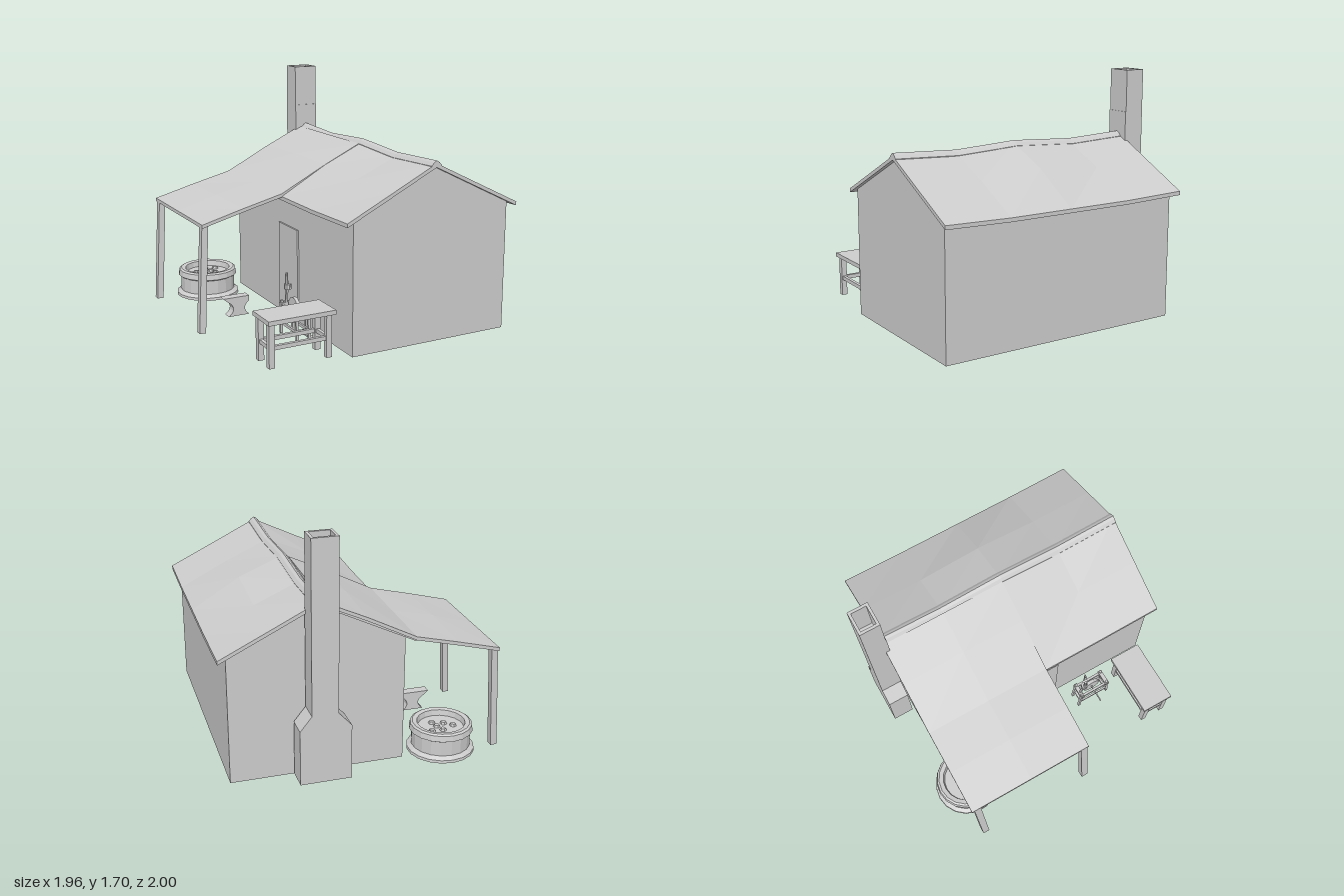
import * as THREE from 'three';

const stone = new THREE.MeshStandardMaterial({ color: 0xcccccc, flatShading: true, side: THREE.DoubleSide });
stone.name = 'plain grey';

function add(parent, name, geometry, x = 0, y = 0, z = 0) {
  const mesh = new THREE.Mesh(geometry, stone);
  mesh.name = name;
  mesh.position.set(x, y, z);
  parent.add(mesh);
  return mesh;
}

function group(parent, name) {
  const g = new THREE.Group();
  g.name = name;
  parent.add(g);
  return g;
}

// box given by its limits
function block(parent, name, x0, x1, y0, y1, z0, z1) {
  return add(parent, name, new THREE.BoxGeometry(x1 - x0, y1 - y0, z1 - z0), (x0 + x1) / 2, (y0 + y1) / 2, (z0 + z1) / 2);
}

// square bar between two points
function bar(parent, name, a, b, w, d = w) {
  const p = new THREE.Vector3(...a), q = new THREE.Vector3(...b);
  const mesh = add(parent, name, new THREE.BoxGeometry(w, p.distanceTo(q), d));
  mesh.position.copy(p).lerp(q, 0.5);
  mesh.quaternion.setFromUnitVectors(new THREE.Vector3(0, 1, 0), q.sub(p).normalize());
  return mesh;
}

// closed sheet of thickness t, rows run from back to front as [z, [[x, y], ...]]
function slab(rows, t) {
  const pos = [];
  const quad = (a, b, c, d) => pos.push(...a, ...b, ...c, ...a, ...c, ...d);
  const loops = rows.map(([z, pts]) => [
    ...pts.map(([x, y]) => [x, y, z]),
    ...pts.map(([x, y]) => [x, y - t, z]).reverse(),
  ]);
  const n = loops[0].length;
  for (let r = 0; r + 1 < loops.length; r++) {
    for (let i = 0; i < n; i++) {
      const j = (i + 1) % n;
      quad(loops[r][i], loops[r + 1][i], loops[r + 1][j], loops[r][j]);
    }
  }
  const back = loops[0], front = loops[loops.length - 1];
  for (let i = 0; i < n / 2 - 1; i++) {
    quad(front[i], front[n - 1 - i], front[n - 2 - i], front[i + 1]);
    quad(back[i], back[i + 1], back[n - 2 - i], back[n - 1 - i]);
  }
  const g = new THREE.BufferGeometry();
  g.setAttribute('position', new THREE.Float32BufferAttribute(pos, 3));
  g.computeVertexNormals();
  return g;
}

const polygon = (pts) => new THREE.Shape(pts.map(([x, y]) => new THREE.Vector2(x, y)));

export function createModel() {
  const model = new THREE.Group();
  model.name = 'smithy';

  // open-floored walls with two gables
  const walls = group(model, 'walls');
  const gable = new THREE.ShapeGeometry(polygon([[-0.6, 0.01], [0.6, 0.01], [0.6, 0.915], [0, 1.21], [-0.6, 0.915]]));
  add(walls, 'frontGable', gable, 0.32, 0, 0.97);
  add(walls, 'backGable', gable, 0.32, 0, -0.82).rotation.y = Math.PI;
  for (const s of [-1, 1]) {
    add(walls, 'sideWall', new THREE.PlaneGeometry(1.79, 0.905), 0.32 + s * 0.6, 0.4625, 0.075).rotation.y = s * Math.PI / 2;
  }
  block(walls, 'door', -0.292, -0.276, 0.01, 0.68, -0.08, 0.21);

  // sagging main roof: z, ridge shift, mid-slope shift, eave shift
  const roof = group(model, 'roof');
  const waves = [[-0.86, 0, 0, 0], [-0.4, -0.02, -0.005, -0.012], [0.07, 0.005, 0.03, -0.012], [0.53, -0.02, -0.005, -0.012], [1, 0, 0, 0]];
  add(roof, 'mainRoof', slab(waves.map(([z, r, m, e]) => [z, [
    [-0.34, 0.912 + e], [0, 1.078 + m * 0.5], [0.32, 1.235 + r], [0.64, 1.078 + m], [0.98, 0.912 + e],
  ]]), 0.027));
  add(roof, 'ridgeCap', slab(waves.map(([z, r]) => [z, [
    [0.28, 1.22 + r], [0.3, 1.242 + r], [0.32, 1.254 + r], [0.34, 1.242 + r], [0.36, 1.22 + r],
  ]]), 0.02));

  // lean-to roof and its splayed posts
  add(roof, 'leanToRoof', slab([[-0.87, 0], [-0.4, 0.008], [0.07, 0]].map(([z, b]) => [z, [
    [-0.94, 0.765], [-0.64, 0.845 + b], [-0.34, 0.92], [0, 1.095 + b], [0.28, 1.226],
  ]]), 0.025));
  const posts = group(model, 'leanToPosts');
  bar(posts, 'backPost', [-0.962, 0, -0.805], [-0.915, 0.755, -0.825], 0.046, 0.05);
  bar(posts, 'frontPost', [-0.962, 0, 0.065], [-0.915, 0.755, 0.035], 0.046, 0.05);

  // shouldered chimney with a hollow flue
  const chimney = group(model, 'chimney');
  add(chimney, 'chimneyBase', new THREE.ExtrudeGeometry(polygon([
    [0.14, 0.02], [0.49, 0.02], [0.49, 0.41], [0.41, 0.51], [0.41, 1.4], [0.23, 1.4], [0.23, 0.51], [0.14, 0.41],
  ]), { depth: 0.155, bevelEnabled: false }), 0, 0, -0.995);
  const flue = polygon([[-0.09, -0.075], [0.09, -0.075], [0.09, 0.075], [-0.09, 0.075]]);
  flue.holes.push(polygon([[-0.07, -0.055], [-0.07, 0.055], [0.07, 0.055], [0.07, -0.055]]));
  const stack = new THREE.ExtrudeGeometry(flue, { depth: 0.3, bevelEnabled: false });
  stack.rotateX(-Math.PI / 2);
  add(chimney, 'chimneyStack', stack, 0.32, 1.4, -0.92);

  // work bench
  const bench = group(model, 'bench');
  block(bench, 'benchTop', -0.84, -0.36, 0.293, 0.323, 0.66, 0.9);
  for (const z of [0.7, 0.86]) {
    for (const x of [-0.81, -0.4]) block(bench, 'benchLeg', x - 0.02, x + 0.02, 0, 0.295, z - 0.02, z + 0.02);
    block(bench, 'benchRail', -0.8, -0.4, 0.118, 0.146, z - 0.012, z + 0.012);
  }
  for (const x of [-0.81, -0.4]) block(bench, 'benchSideRail', x - 0.012, x + 0.012, 0.118, 0.146, 0.7, 0.86);

  // round hearth with a flared foot and coals
  const hearth = group(model, 'hearth');
  hearth.position.set(-0.585, 0, -0.755);
  const profile = [[0.19, 0.15], [0.19, 0.04], [0.2, 0.005], [0.237, 0.005], [0.235, 0.025], [0.205, 0.045], [0.205, 0.15],
    [0.222, 0.16], [0.215, 0.2], [0.2, 0.21], [0.168, 0.205], [0.16, 0.165], [0, 0.165]];
  add(hearth, 'hearthBowl', new THREE.LatheGeometry(profile.map(([x, y]) => new THREE.Vector2(x, y)), 18));
  for (let i = 0; i < 6; i++) {
    const a = i * 2.4, r = 0.03 + i * 0.014;
    add(hearth, 'coal', new THREE.CylinderGeometry(0.018, 0.026, 0.02, 6), r * Math.cos(a), 0.172, r * Math.sin(a));
  }

  // waisted anvil
  const anvil = group(model, 'anvil');
  anvil.position.set(-0.6, 0, -0.15);
  const side = new THREE.Shape();
  side.moveTo(-0.08, 0.01);
  side.lineTo(0.08, 0.01);
  side.quadraticCurveTo(0.01, 0.06, 0.08, 0.115);
  side.lineTo(0.08, 0.15);
  side.lineTo(-0.12, 0.15);
  side.quadraticCurveTo(-0.09, 0.12, -0.07, 0.11);
  side.quadraticCurveTo(-0.01, 0.06, -0.08, 0.01);
  add(anvil, 'anvilBody', new THREE.ExtrudeGeometry(side, { depth: 0.07, bevelEnabled: false, curveSegments: 5 }), 0, 0, -0.035);

  // grindstone on a trestle with a drip can
  const grinder = group(model, 'grindstone');
  for (const z of [0.335, 0.555]) {
    block(grinder, 'trestlePlate', -0.49, -0.37, 0.2, 0.225, z - 0.015, z + 0.015);
    block(grinder, 'trestleRail', -0.48, -0.38, 0.07, 0.09, z - 0.008, z + 0.008);
    for (const x of [-0.475, -0.385]) {
      bar(grinder, 'trestleLeg', [x, 0, z + (z > 0.4 ? 0.015 : -0.015)], [x, 0.24, z], 0.018);
    }
  }
  for (const x of [-0.475, -0.385]) {
    block(grinder, 'sideBeam', x - 0.009, x + 0.009, 0.19, 0.215, 0.32, 0.57);
    block(grinder, 'lowerBeam', x - 0.007, x + 0.007, 0.07, 0.09, 0.33, 0.56);
  }
  add(grinder, 'stoneWheel', new THREE.CylinderGeometry(0.07, 0.07, 0.025, 14), -0.43, 0.215, 0.44).rotation.z = Math.PI / 2;
  bar(grinder, 'axle', [-0.58, 0.215, 0.44], [-0.345, 0.215, 0.44], 0.009);
  bar(grinder, 'treadleRod', [-0.348, 0.02, 0.44], [-0.348, 0.23, 0.44], 0.008);
  bar(grinder, 'treadle', [-0.352, 0.014, 0.42], [-0.352, 0.014, 0.58], 0.03, 0.012);
  bar(grinder, 'canStand', [-0.445, 0.21, 0.335], [-0.445, 0.33, 0.36], 0.014);
  add(grinder, 'dripCan', new THREE.CylinderGeometry(0.026, 0.026, 0.035, 10), -0.445, 0.343, 0.365);
  add(grinder, 'canSpout', new THREE.CylinderGeometry(0.009, 0.013, 0.08, 8), -0.452, 0.4, 0.365);

  return model;
}
